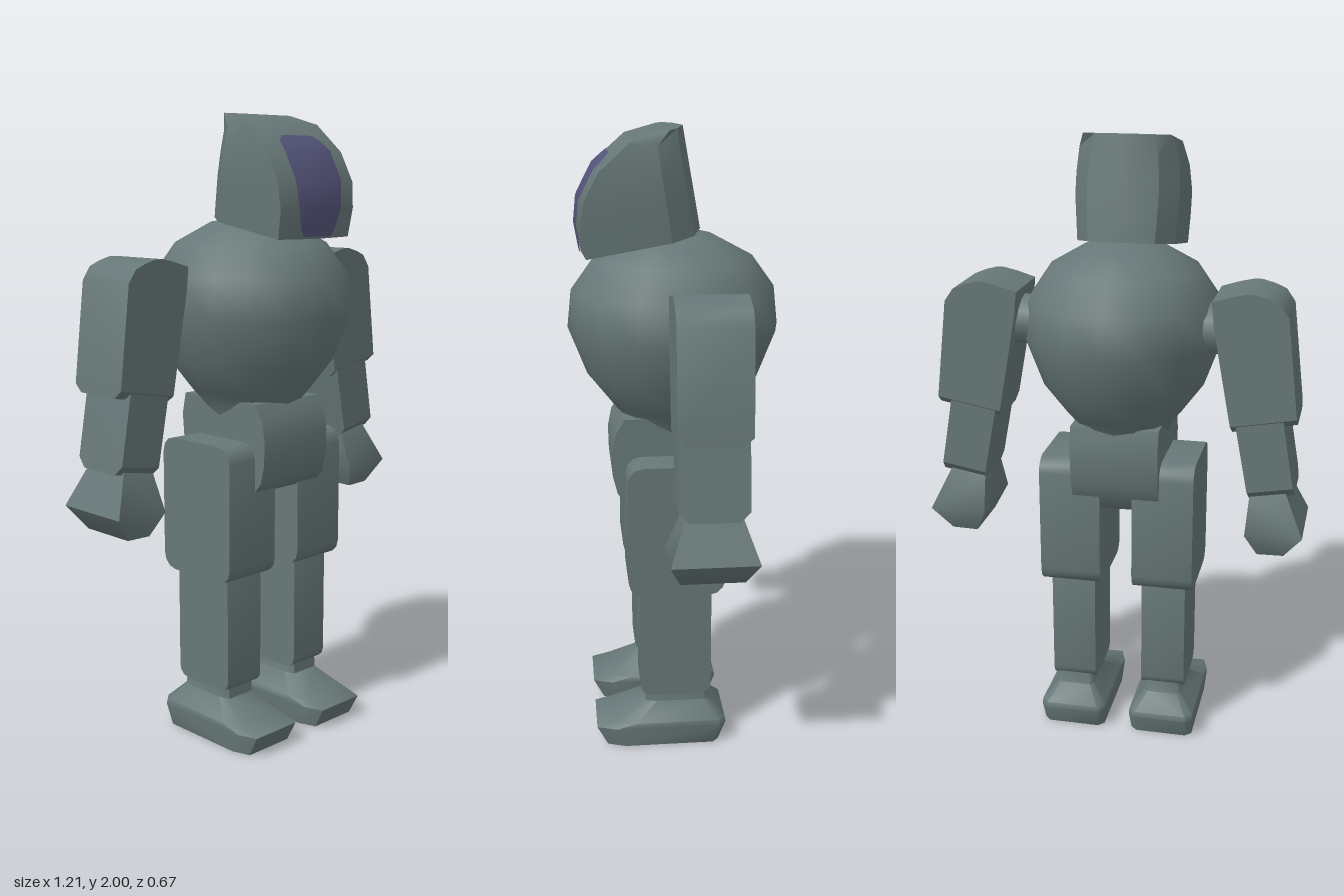
import * as THREE from 'three';
import { toCreasedNormals } from 'three/addons/utils/BufferGeometryUtils.js';

const shell = new THREE.MeshStandardMaterial({ color: 0x677777 });
shell.name = 'greyGreenShell';
const glass = new THREE.MeshStandardMaterial({ color: 0x54547a, side: THREE.DoubleSide });
glass.name = 'purpleVisor';

function mesh(name, geometry, material = shell) {
  const m = new THREE.Mesh(geometry, material);
  m.name = name;
  return m;
}

// Closed skin over rings of [x, y, z], bottom to top; side = -1 mirrors it in x
function loft(rings, side = 1, crease = 0.6) {
  const n = rings[0].length, pos = [], idx = [];
  const add = ([x, y, z]) => pos.push(x * side, y, z) / 3 - 1;
  const tri = (a, b, c) => (side > 0 ? idx.push(a, b, c) : idx.push(a, c, b));
  rings.forEach(r => r.forEach(add));
  for (let i = 0; i < rings.length - 1; i++) {
    for (let j = 0; j < n; j++) {
      const a = i * n + j, b = i * n + (j + 1) % n;
      tri(a, b, b + n);
      tri(a, b + n, a + n);
    }
  }
  const centre = r => [0, 1, 2].map(k => r.reduce((s, p) => s + p[k], 0) / n);
  const lo = add(centre(rings[0])), hi = add(centre(rings.at(-1))), top = (rings.length - 1) * n;
  for (let j = 0; j < n; j++) {
    const k = (j + 1) % n;
    tri(lo, k, j);
    tri(hi, top + j, top + k);
  }
  const g = new THREE.BufferGeometry();
  g.setAttribute('position', new THREE.Float32BufferAttribute(pos, 3));
  g.setIndex(idx);
  return toCreasedNormals(g, crease);
}

// Four-cornered ring, with its own height at the inner and outer edge
const quad = (x0, y0, x1, y1, z0 = -0.18, z1 = 0.04) =>
  [[x0, y0, z1], [x1, y1, z1], [x1, y1, z0], [x0, y0, z0]];

// Eight-cornered level ring with cut corners
const oct = (y, x0, x1, z0, z1, c) => [
  [x0 + c, y, z1], [x1 - c, y, z1], [x1, y, z1 - c * 3], [x1, y, z0 + c],
  [x1 - c, y, z0], [x0 + c, y, z0], [x0, y, z0 + c], [x0, y, z1 - c * 3]];

// Side profile of [z, y] points, extruded across x
function slab(points, x0, x1) {
  const shape = new THREE.Shape(points.map(([z, y]) => new THREE.Vector2(-z, y)));
  const g = new THREE.ExtrudeGeometry(shape, { depth: x1 - x0, bevelEnabled: false });
  g.rotateY(Math.PI / 2).translate(x0, 0, 0);
  return toCreasedNormals(g, 0.8);
}

// Rectangle profile with softened corners
function softRect(z0, z1, y0, y1, r) {
  const out = [];
  [[z1 - r, y1 - r], [z0 + r, y1 - r], [z0 + r, y0 + r], [z1 - r, y0 + r]].forEach(([z, y], q) => {
    for (let i = 0; i <= 3; i++) {
      const a = (q + i / 3) * Math.PI / 2;
      out.push([z + r * Math.cos(a), y + r * Math.sin(a)]);
    }
  });
  return out;
}

// Head levels: front z, front y, half width
const face = [
  [0.275, 1.622, 0.155], [0.29, 1.71, 0.16], [0.282, 1.79, 0.165],
  [0.235, 1.88, 0.163], [0.14, 1.965, 0.155], [0.04, 1.995, 0.135]];
const bulge = 0.012;

function headGeometry() {
  const rings = face.map(([zf, yf, w], i) => {
    const t = i / (face.length - 1);
    const zb = -0.085 + 0.055 * t, yb = 1.685 + 0.315 * t, len = zf - zb;
    const at = (x, z) => [x, yb + (yf - yb) * (z - zb) / len, z];
    const z1 = zb + Math.min(0.03, len * 0.35), z2 = zb + Math.min(0.1, len * 0.75);
    return [at(0, zf + bulge), at(w, zf), at(w, z2), at(w * 0.68, z1), at(0, zb),
      at(-w * 0.68, z1), at(-w, z2), at(-w, zf)];
  });
  return loft(rings);
}

// Thin visor following the curve of the face
function visorGeometry() {
  const rows = [[1.624, 0.06], [1.65, 0.075], [1.71, 0.092], [1.79, 0.1], [1.88, 0.1], [1.908, 0.09], [1.925, 0.065]];
  const pos = [], idx = [];
  rows.forEach(([y, w], i) => {
    const k = Math.max(1, face.findIndex(f => f[1] >= y));
    const [a, b] = [face[k - 1], face[k]];
    const t = (y - a[1]) / (b[1] - a[1]);
    const z = a[0] + (b[0] - a[0]) * t, hw = a[2] + (b[2] - a[2]) * t;
    [-w, 0, w].forEach(x => pos.push(x, y + 0.003, z + bulge * (1 - Math.abs(x) / hw) + 0.007));
    if (i) for (let j = 0; j < 2; j++) {
      const p = (i - 1) * 3 + j;
      idx.push(p, p + 1, p + 4, p, p + 4, p + 3);
    }
  });
  const g = new THREE.BufferGeometry();
  g.setAttribute('position', new THREE.Float32BufferAttribute(pos, 3));
  g.setIndex(idx);
  g.computeVertexNormals();
  return g;
}

export function createModel() {
  const model = new THREE.Group();
  model.name = 'robot';

  // Head
  model.add(mesh('head', headGeometry()), mesh('visor', visorGeometry(), glass));

  // Round torso narrowing to the waist
  const profile = [[0.14, 1.03], [0.165, 1.09], [0.2, 1.13], [0.275, 1.225], [0.335, 1.38],
    [0.322, 1.5], [0.25, 1.6], [0.13, 1.665], [0, 1.682]];
  const torso = new THREE.LatheGeometry(profile.map(p => new THREE.Vector2(...p)), 16);
  model.add(mesh('torso', torso.scale(0.94, 1, 1)));

  // Pelvis
  const hip = [[0.165, 1.11], [0.195, 1.06], [0.207, 1], [0.205, 0.92], [0.19, 0.86], [0.16, 0.825],
    [0.08, 0.8], [-0.07, 0.8], [-0.13, 0.83], [-0.165, 0.92], [-0.175, 1.04], [-0.16, 1.11]];
  model.add(mesh('pelvis', slab(hip, -0.142, 0.142)));

  for (const side of [1, -1]) {
    const word = side > 0 ? 'left' : 'right';
    const put = (name, geometry) => model.add(mesh(word + name, geometry));
    const across = (pts, x0, x1) => (side > 0 ? slab(pts, x0, x1) : slab(pts, -x1, -x0));

    // Arm
    const joint = new THREE.CylinderGeometry(0.08, 0.08, 0.1, 12).rotateZ(Math.PI / 2);
    put('Shoulder', joint.translate(side * 0.3, 1.43, -0.07));
    put('UpperArm', loft([
      quad(0.372, 1.125, 0.572, 1.163, -0.15, 0.01), quad(0.367, 1.15, 0.57, 1.187),
      quad(0.31, 1.46, 0.533, 1.5), quad(0.302, 1.538, 0.505, 1.54),
      quad(0.36, 1.556, 0.47, 1.555), quad(0.405, 1.566, 0.43, 1.566)], side));
    put('Forearm', loft([
      quad(0.432, 0.905, 0.572, 0.93, -0.145, 0.005), quad(0.425, 0.935, 0.567, 0.96, -0.175, 0.035),
      quad(0.38, 1.17, 0.525, 1.2, -0.175, 0.035)], side));
    put('Hand', loft([
      quad(0.463, 0.725, 0.547, 0.727, -0.165, 0.03), quad(0.425, 0.8, 0.605, 0.805, -0.203, 0.063),
      quad(0.432, 0.915, 0.545, 0.935, -0.155, 0.015)], side, 1));

    // Leg
    put('Thigh', across(softRect(-0.145, 0.165, 0.545, 0.985, 0.05), 0.053, 0.253));
    put('Shin', across(softRect(-0.105, 0.127, 0.17, 0.6, 0.035), 0.08, 0.226));
    put('Foot', loft([
      oct(0, 0.048, 0.258, -0.13, 0.24, 0.02), oct(0.068, 0.043, 0.264, -0.155, 0.275, 0.022),
      oct(0.085, 0.045, 0.262, -0.152, 0.21, 0.022),
      oct(0.14, 0.09, 0.215, -0.098, 0.11, 0.012), oct(0.21, 0.09, 0.215, -0.09, 0.105, 0.012)], side, 0.8));
  }
  return model;
}
